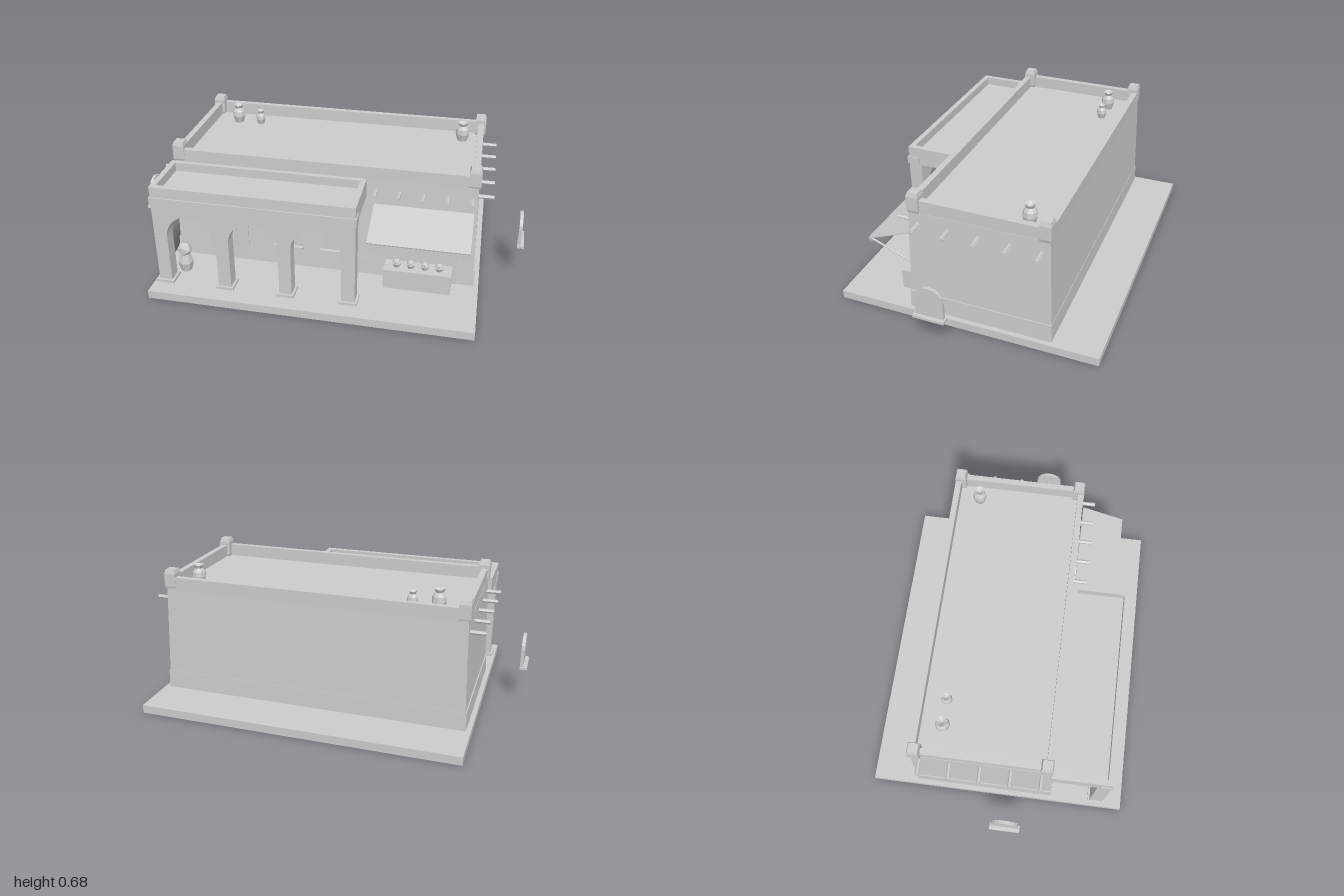
import * as THREE from 'three';

const mat = new THREE.MeshStandardMaterial({ color: 0xcccccc, flatShading: true });
const thin = new THREE.MeshStandardMaterial({ color: 0xcccccc, flatShading: true, side: THREE.DoubleSide });

export function createModel() {
  const model = new THREE.Group();
  const add = (name, geo, x = 0, y = 0, z = 0, material = mat, parent = model) => {
    const m = new THREE.Mesh(geo, material);
    m.name = name;
    m.position.set(x, y, z);
    parent.add(m);
    return m;
  };
  // Box given by its extents; the top can be pulled in by a taper
  const block = (name, x0, x1, y0, y1, z0, z1, taper = 0, parent = model) => {
    const w = x1 - x0, d = z1 - z0;
    const g = new THREE.BoxGeometry(w, y1 - y0, d);
    const p = g.attributes.position;
    for (let i = 0; i < p.count; i++) {
      if (p.getY(i) > 0) {
        p.setX(i, p.getX(i) - Math.sign(p.getX(i)) * taper);
        p.setZ(i, p.getZ(i) - Math.sign(p.getZ(i)) * taper);
      }
    }
    g.computeVertexNormals();
    return add(name, g, (x0 + x1) / 2, (y0 + y1) / 2, (z0 + z1) / 2, mat, parent);
  };
  // Rectangular wall ring lying on a roof
  const parapet = (name, x0, x1, z0, z1, y0, y1, t) => {
    const rect = (C, a, b, c, d) => {
      const s = new C();
      s.moveTo(a, c); s.lineTo(b, c); s.lineTo(b, d); s.lineTo(a, d); s.closePath();
      return s;
    };
    const s = rect(THREE.Shape, x0, x1, -z1, -z0);
    s.holes.push(rect(THREE.Path, x0 + t, x1 - t, -z1 + t, -z0 - t));
    const g = new THREE.ExtrudeGeometry(s, { depth: y1 - y0, bevelEnabled: false });
    g.rotateX(-Math.PI / 2);
    add(name, g, 0, y0, 0);
  };
  // Round-topped panel, base centre at the origin, facing +z
  const archPanel = (w, h, depth) => {
    const s = new THREE.Shape(), r = w / 2;
    s.moveTo(-r, 0); s.lineTo(r, 0); s.lineTo(r, h - r);
    s.absarc(0, h - r, r, 0, Math.PI, false);
    s.closePath();
    return new THREE.ExtrudeGeometry(s, { depth, bevelEnabled: false, curveSegments: 4 });
  };
  const lathe = (points, sides) =>
    new THREE.LatheGeometry(points.map(([r, y]) => new THREE.Vector2(r, y)), sides);
  // Thin rod between two points
  const rod = (name, a, b, r, sides = 6) => {
    const A = new THREE.Vector3(...a), B = new THREE.Vector3(...b);
    const m = add(name, new THREE.CylinderGeometry(r, r, A.distanceTo(B), sides));
    m.position.copy(A).add(B).multiplyScalar(0.5);
    m.quaternion.setFromUnitVectors(new THREE.Vector3(0, 1, 0), B.sub(A).normalize());
  };

  // Ground and main house
  block('groundSlab', -0.795, 0.795, 0, 0.042, -0.655, 0.655);
  block('plinth', -0.772, 0.772, 0.042, 0.135, -0.424, 0.288, 0.003);
  block('houseWalls', -0.764, 0.764, 0.135, 0.575, -0.419, 0.283, 0.014);
  parapet('roofParapet', -0.748, 0.748, -0.407, 0.268, 0.57, 0.638, 0.03);

  // Chamfered corner posts on the parapet
  for (const x of [-0.73, 0.73]) for (const z of [-0.38, 0.242]) {
    const g = lathe([[0, 0.572], [0.034, 0.572], [0.041, 0.587], [0.041, 0.655], [0.033, 0.675], [0, 0.675]], 4);
    add('cornerPost', g.rotateY(Math.PI / 4), x, 0, z);
  }

  // Beam ends sticking out of the walls
  for (let i = 0; i < 5; i++) {
    const z = 0.223 - i * 0.147, x = 0.265 + i * 0.115;
    for (const s of [-1, 1]) rod('sideBeam', [s * 0.72, 0.515, z], [s * 0.825, 0.515, z], 0.01);
    rod('frontBeam', [x, 0.515, 0.25], [x, 0.515, 0.338], 0.01);
  }

  // Roof jars
  for (const [x, s] of [[-0.59, 1], [-0.465, 0.76], [0.64, 1]]) {
    const g = lathe([[0, 0], [0.024, 0], [0.036, 0.04], [0.032, 0.065], [0.018, 0.083], [0.027, 0.1], [0.018, 0.094], [0, 0.08]], 8);
    add('roofJar', g, x, 0.573, -0.27).scale.setScalar(s);
  }

  // Arcade front wall with three arches cut from below
  const centres = [-0.583, -0.274, 0.032], r = 0.122, spring = 0.308;
  const wall = new THREE.Shape();
  wall.moveTo(-0.77, 0.042);
  for (const c of centres) {
    wall.lineTo(c - r, 0.042);
    wall.lineTo(c - r, spring);
    wall.absarc(c, spring, r, Math.PI, 0, true);
    wall.lineTo(c + r, 0.042);
  }
  wall.lineTo(0.22, 0.042); wall.lineTo(0.22, 0.53); wall.lineTo(-0.77, 0.53);
  wall.closePath();
  add('arcadeWall', new THREE.ExtrudeGeometry(wall, { depth: 0.068, bevelEnabled: false, curveSegments: 10 }), 0, 0, 0.49);
  for (const [a, b] of [[-0.77, -0.705], [-0.461, -0.396], [-0.152, -0.09], [0.154, 0.22]])
    block('pierBase', a - 0.012, b + 0.012, 0.042, 0.056, 0.48, 0.57);
  block('porchRoof', -0.77, 0.22, 0.48, 0.53, 0.265, 0.49);
  block('porchCornice', -0.775, 0.225, 0.48, 0.52, 0.5, 0.565);
  parapet('porchParapet', -0.77, 0.22, 0.265, 0.558, 0.53, 0.574, 0.027);

  // Hanging lanterns
  for (const x of centres) {
    add('lantern', lathe([[0, 0.333], [0.01, 0.345], [0.018, 0.38], [0.01, 0.415], [0, 0.43]], 6), x, 0, 0.393);
    rod('lanternCord', [x, 0.425, 0.393], [x, 0.482, 0.393], 0.002, 4);
  }

  // Doors and windows
  add('doorPanel', archPanel(0.21, 0.328, 0.022), -0.49, 0.042, 0.264);
  for (const x of [-0.53, -0.45]) block('doorPlank', x - 0.003, x + 0.003, 0.1, 0.335, 0.27, 0.289);
  const windowUnit = (x, y, z, turn) => {
    const g = new THREE.Group();
    g.name = 'window';
    add('windowPanel', archPanel(0.135, 0.155, 0.016), 0, 0.01, 0, mat, g);
    block('windowSill', -0.076, 0.076, 0, 0.012, 0, 0.035, 0, g);
    g.position.set(x, y, z);
    g.rotation.y = turn;
    model.add(g);
  };
  for (const x of [-0.17, 0.07]) windowUnit(x, 0.147, 0.267, 0);
  for (const s of [-1, 1]) windowUnit(s * 0.965, 0.2, 0.07, s * Math.PI / 2);

  // Market stall: niche, counter and bowls of goods
  add('stallNiche', archPanel(0.36, 0.33, 0.03), 0.5, 0.042, 0.264);
  block('stallCounter', 0.33, 0.662, 0.042, 0.147, 0.28, 0.39);
  for (let i = 0; i < 4; i++) {
    const x = 0.39 + i * 0.07;
    add('bowl', lathe([[0, 0], [0.015, 0], [0.026, 0.02], [0, 0.02]], 8), x, 0.147, 0.343);
    add('goods', new THREE.IcosahedronGeometry(0.022, 0), x, 0.168, 0.343);
  }

  // Awning with toothed valance and struts
  const sheet = new THREE.BoxGeometry(0.48, 0.006, Math.hypot(0.225, 0.085));
  add('awning', sheet, 0.5, 0.404, 0.391).rotation.x = Math.atan2(0.085, 0.225);
  const teeth = new THREE.Shape(), n = 8, step = 0.48 / n;
  teeth.moveTo(0.26, 0.364);
  teeth.lineTo(0.26, 0.35);
  for (let i = 0; i < n; i++) {
    teeth.lineTo(0.26 + (i + 0.5) * step, 0.322);
    teeth.lineTo(0.26 + (i + 1) * step, 0.35);
  }
  teeth.lineTo(0.74, 0.364);
  teeth.closePath();
  add('awningValance', new THREE.ShapeGeometry(teeth), 0, 0, 0.502, thin);
  for (const x of [0.27, 0.73]) rod('awningStrut', [x, 0.36, 0.5], [x, 0.268, 0.275], 0.005);

  // Potted bush beside the porch
  add('plantPot', lathe([[0, 0], [0.028, 0], [0.041, 0.05], [0.026, 0.1], [0.03, 0.108], [0, 0.108]], 7), -0.678, 0.042, 0.435);
  add('bush', new THREE.IcosahedronGeometry(0.04, 0), -0.678, 0.163, 0.435);

  return model;
}
